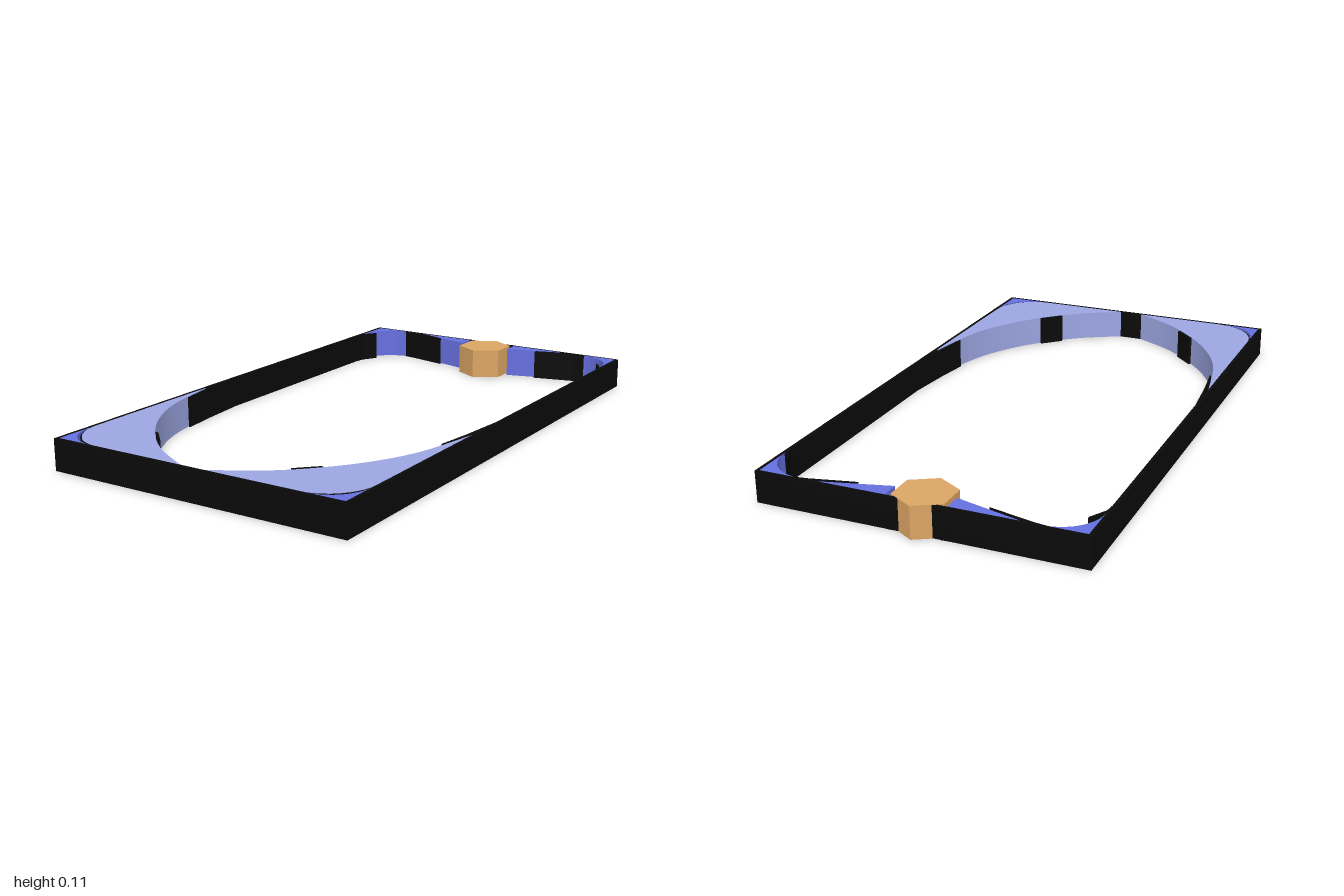
import * as THREE from 'three';

const H = 0.112;
const mat = (color) => new THREE.MeshStandardMaterial({ color, flatShading: true });
const black = mat(0x0a0a0a), blue = mat(0x6670e0), paleBlue = mat(0x9ca6e2), tan = mat(0xdba564);

// Upright slab from a plan shape whose coordinates are (x, z)
function slab(name, shape, material, inset = 0.001) {
  const geo = new THREE.ExtrudeGeometry(shape, { depth: H - 2 * inset, bevelEnabled: false, curveSegments: 10 });
  geo.rotateX(Math.PI / 2).translate(0, H - inset, 0);
  const mesh = new THREE.Mesh(geo, material);
  mesh.name = name;
  return mesh;
}

// Closed outline, mirrored across x when side is -1
const outline = (points, side = 1) =>
  new THREE.Shape(points.map(([x, z]) => new THREE.Vector2(x * side, z)));

// Smooth run of points through a few knots
const smooth = (knots, n = 16) =>
  new THREE.SplineCurve(knots.map(([x, z]) => new THREE.Vector2(x, z))).getPoints(n).map((p) => [p.x, p.y]);

// Quarter arc hugging a corner, ending on the side wall and on the end wall
function cornerArc(x, z, r, dir, n = 10) {
  return Array.from({ length: n + 1 }, (_, i) => {
    const a = (i / n) * Math.PI / 2;
    return [x - r + r * Math.cos(a), z - dir * (r - r * Math.sin(a))];
  });
}

export function createModel() {
  const group = new THREE.Group();

  // Thin rectangular rim
  const rim = outline([[-0.561, -0.967], [0.561, -0.967], [0.561, 1], [-0.561, 1]]);
  rim.holes.push(outline([[-0.549, -0.958], [-0.549, 0.988], [0.549, 0.988], [0.549, -0.958]]));
  group.add(slab('rim', rim, black));

  // Hexagonal block at the back
  const hexagon = new THREE.Mesh(new THREE.CylinderGeometry(0.104, 0.104, H, 6), tan);
  hexagon.name = 'hexagonBlock';
  hexagon.position.set(0, H / 2, -0.896);
  group.add(hexagon);

  for (const side of [1, -1]) {
    const tag = side > 0 ? 'left' : 'right';
    const add = (name, points, material, inset) =>
      group.add(slab(tag + name, outline(points, side), material, inset));

    // Large front panel with a sweeping inner edge and a rounded outer corner
    const sweep = smooth([[0.55, 0.25], [0.5, 0.49], [0.42, 0.66], [0.31, 0.8], [0.19, 0.905], [0.045, 0.988]], 24);
    const rounded = cornerArc(0.549, 0.988, 0.17, 1).reverse();
    add('FrontPanel', [...sweep, ...rounded], paleBlue);

    // Corner fillers
    add('FrontCorner', [[0.549, 0.988], ...cornerArc(0.549, 0.988, 0.135, 1)], blue);
    add('BackCorner', [[0.549, -0.958], ...cornerArc(0.549, -0.958, 0.14, -1)], blue);

    // Thin line around the front corner, in the gap
    const line = cornerArc(0.549, 0.988, 0.158, 1);
    const lineInner = cornerArc(0.549, 0.988, 0.164, 1).reverse();
    add('CornerLine', [...line, ...lineInner], black, 0.002);

    // Wedge beside the hexagon
    add('BackWedge', [[0.34, -0.958], [0.105, -0.958], [0.105, -0.895]], blue);

    // Dark slivers lying along the inner walls
    const slivers = [
      [[0.555, 0.05], [0.543, 0.24], [0.52, 0.39], [0.515, 0.39], [0.533, 0.26], [0.548, 0.1]],
      [[0.33, 0.776], [0.262, 0.843], [0.255, 0.838], [0.322, 0.772]],
      [[0.552, -0.74], [0.545, -0.8], [0.51, -0.862], [0.532, -0.835], [0.552, -0.8]],
      [[0.43, -0.959], [0.38, -0.952], [0.22, -0.914], [0.225, -0.922], [0.34, -0.959]],
      [[0.19, -0.96], [0.085, -0.968], [0.085, -0.96]],
    ];
    slivers.forEach((points, i) => add('Sliver' + (i + 1), points, black, 0.0005));
  }
  return group;
}
